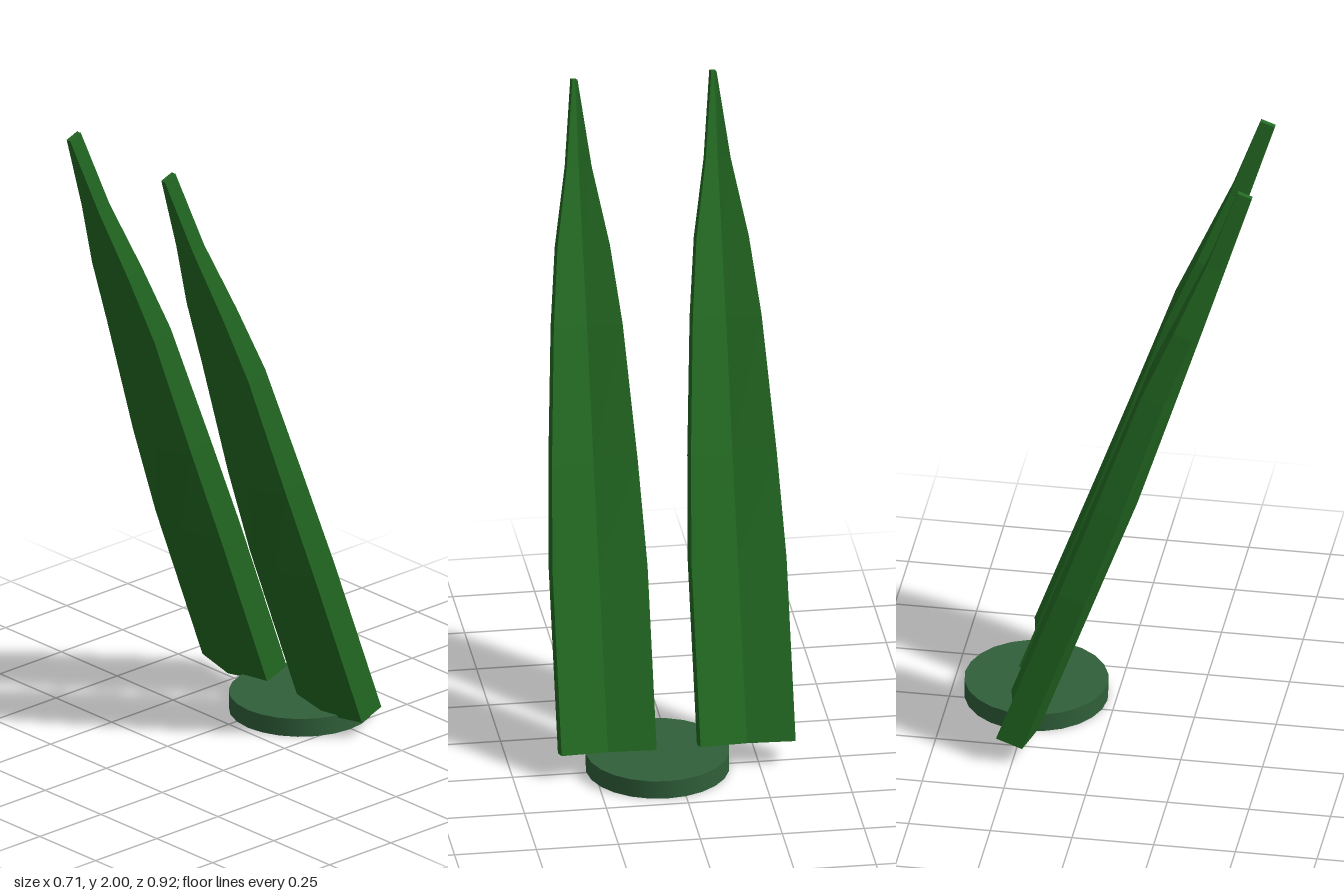
import * as THREE from 'three';

const leafGreen = new THREE.MeshStandardMaterial({ color: 0x236a23 });
leafGreen.name = 'leaf green';
const baseGreen = new THREE.MeshStandardMaterial({ color: 0x30603a });
baseGreen.name = 'base green';

// Cross-sections along a blade: height, half width, then depths behind the
// front ridge: front ridge, front edge, back edge, back groove
const SECTIONS = [
  [0, 0.145, 0, 0.03, 0.115, 0.088],
  [0.56, 0.145, 0, 0.03, 0.115, 0.088],
  [0.88, 0.131, 0, 0.035, 0.117, 0.088],
  [1.3, 0.105, 0.017, 0.05, 0.122, 0.092],
  [1.54, 0.08, 0.027, 0.048, 0.108, 0.086],
  [1.78, 0.038, 0.038, 0.049, 0.096, 0.084],
  [2.045, 0.008, 0.05, 0.051, 0.097, 0.096],
];

// Faceted blade with a shallow V section, lofted through the cross-sections
function bladeGeometry() {
  const positions = [];
  const index = [];
  for (const [s, w, ridge, front, back, groove] of SECTIONS) {
    const ring = [[0, ridge], [w, front], [w, back], [0, groove], [-w, back], [-w, front]];
    for (const [x, d] of ring) positions.push(x, s, -d);
  }
  const quad = (a, b, c, d) => index.push(a, b, c, a, c, d);
  for (let i = 0; i < SECTIONS.length - 1; i++) {
    for (let j = 0; j < 6; j++) {
      const a = i * 6 + j;
      const b = i * 6 + (j + 1) % 6;
      quad(a, b, b + 6, a + 6);
    }
  }
  // End caps
  const t = (SECTIONS.length - 1) * 6;
  quad(3, 2, 1, 0);
  quad(5, 4, 3, 0);
  quad(t, t + 1, t + 2, t + 3);
  quad(t, t + 3, t + 4, t + 5);

  const indexed = new THREE.BufferGeometry();
  indexed.setAttribute('position', new THREE.Float32BufferAttribute(positions, 3));
  indexed.setIndex(index);
  const geometry = indexed.toNonIndexed();
  geometry.computeVertexNormals();
  return geometry;
}

export function createModel() {
  const model = new THREE.Group();
  model.name = 'leafPair';

  // Two blades leaning forward
  const geometry = bladeGeometry();
  for (const [name, side] of [['leftBlade', 1], ['rightBlade', -1]]) {
    const blade = new THREE.Mesh(geometry, leafGreen);
    blade.name = name;
    blade.position.set(side * 0.212, 0.045, -0.19);
    blade.rotation.x = THREE.MathUtils.degToRad(20);
    model.add(blade);
  }

  // Round base, set off centre
  const base = new THREE.Mesh(new THREE.CylinderGeometry(0.218, 0.218, 0.058, 24), baseGreen);
  base.name = 'baseDisc';
  base.position.set(0.057, 0.029, -0.243);
  model.add(base);

  return model;
}
